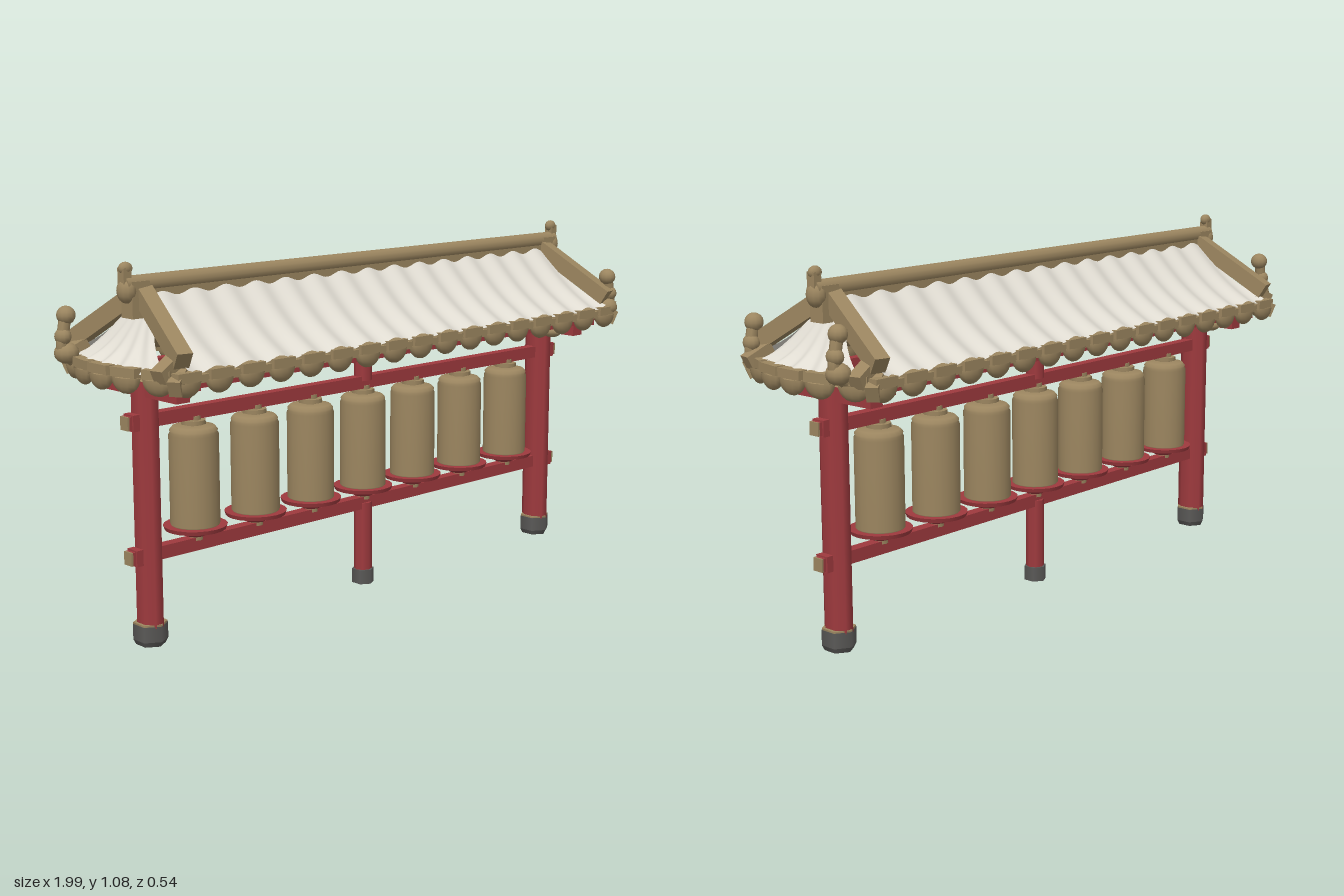
import * as THREE from 'three';

const mat = (name, color, side = THREE.FrontSide) => {
  const m = new THREE.MeshStandardMaterial({ color, side });
  m.name = name;
  return m;
};

export function createModel() {
  const root = new THREE.Group();
  root.name = 'prayerWheelPavilion';
  const red = mat('red paint', 0x9e3a3e);
  const gold = mat('antique gold', 0x9c8660, THREE.DoubleSide);
  const white = mat('pale tile', 0xe0dcd2, THREE.DoubleSide);
  const stone = mat('grey stone', 0x5a5957);

  const add = (name, geo, m, x = 0, y = 0, z = 0, parent = root) => {
    const mesh = new THREE.Mesh(geo, m);
    mesh.name = name;
    mesh.position.set(x, y, z);
    parent.add(mesh);
    return mesh;
  };
  const box = (name, m, w, h, d, x, y, z, parent) =>
    add(name, new THREE.BoxGeometry(w, h, d), m, x, y, z, parent);
  const ball = (name, rx, ry, rz, x, y, z, parent) =>
    add(name, new THREE.SphereGeometry(1, 12, 8).scale(rx, ry, rz), gold, x, y, z, parent);
  // Square bar running between two points
  const bar = (name, m, a, b, w, h) => {
    const from = new THREE.Vector3(...a), to = new THREE.Vector3(...b);
    const mid = from.clone().add(to).multiplyScalar(0.5);
    const mesh = box(name, m, w, h, from.distanceTo(to), mid.x, mid.y, mid.z);
    mesh.lookAt(to);
    return mesh;
  };
  // Curved sheet from a rule fn(u, v) -> [x, y, z]
  const sheet = (fn, nu, nv) => {
    const pos = [], idx = [];
    for (let j = 0; j <= nv; j++) for (let i = 0; i <= nu; i++) pos.push(...fn(i / nu, j / nv));
    for (let j = 0; j < nv; j++) for (let i = 0; i < nu; i++) {
      const a = j * (nu + 1) + i, b = a + nu + 1;
      idx.push(a, b, a + 1, a + 1, b, b + 1);
    }
    const g = new THREE.BufferGeometry();
    g.setAttribute('position', new THREE.Float32BufferAttribute(pos, 3));
    g.setIndex(idx);
    g.computeVertexNormals();
    return g;
  };

  // Posts on stone feet
  const hex = (r, h, sx) => new THREE.CylinderGeometry(r, r, h, 6).scale(sx, 1, 1);
  for (const s of [-1, 1]) {
    add('cornerPost', new THREE.CylinderGeometry(0.044, 0.044, 0.71, 8, 1).rotateY(Math.PI / 8).scale(0.8, 1, 1.08), red, s * 0.83, 0.41, 0);
    add('postFoot', hex(0.051, 0.045, 0.95), stone, s * 0.83, 0.0375, 0);
    add('footBase', new THREE.CylinderGeometry(0.051, 0.043, 0.015, 6).scale(0.95, 1, 1), stone, s * 0.83, 0.0075, 0);
    add('footRim', hex(0.05, 0.006, 0.95), gold, s * 0.83, 0.062, 0);
  }
  add('centrePost', new THREE.CylinderGeometry(0.028, 0.028, 0.22, 8), red, 0, 0.15, 0);
  add('centreFoot', hex(0.036, 0.045, 0.95), stone, 0, 0.0225, 0);
  add('upperCentrePost', new THREE.CylinderGeometry(0.028, 0.028, 0.09, 8), red, 0, 0.69, 0);

  // Long rails with gold end caps
  for (const y of [0.26, 0.64]) {
    box('rail', red, 1.79, 0.038, 0.034, 0, y, 0);
    for (const s of [-1, 1]) {
      box('railEnd', gold, 0.006, 0.038, 0.034, s * 0.898, y, 0);
      box('railPeg', red, 0.022, 0.046, 0.044, s * 0.875, y, 0);
    }
  }
  box('topBeam', red, 1.66, 0.045, 0.06, 0, 0.735, 0);
  for (const s of [-1, 1]) box('eavePurlin', red, 1.7, 0.03, 0.03, 0, 0.76, s * 0.16);

  // Cross brackets under the roof ends
  for (const s of [-1, 1]) {
    box('crossBeam', red, 0.045, 0.055, 0.34, s * 0.83, 0.738, 0);
    for (const t of [-1, 1]) {
      box('bracketTip', red, 0.035, 0.03, 0.09, s * 0.83, 0.765, t * 0.18);
      ball('bracketScroll', 0.03, 0.02, 0.035, s * 0.78, 0.722, t * 0.1);
    }
  }

  // Wheels on red plates
  const drum = [[0, 0], [0.066, 0], [0.071, 0.006], [0.071, 0.265], [0.067, 0.272],
    [0.069, 0.278], [0.06, 0.288], [0.03, 0.29], [0, 0.29]].map(p => new THREE.Vector2(...p));
  for (const x of [-0.663, -0.438, -0.219, 0, 0.219, 0.438, 0.663]) {
    const g = new THREE.Group();
    g.name = 'prayerWheel';
    g.position.x = x;
    root.add(g);
    add('drum', new THREE.LatheGeometry(drum, 20), gold, 0, 0.312, 0, g);
    add('plate', new THREE.CylinderGeometry(0.092, 0.088, 0.012, 20), red, 0, 0.309, 0, g);
    add('plateHub', new THREE.CylinderGeometry(0.055, 0.03, 0.02, 12), red, 0, 0.293, 0, g);
    add('spindle', new THREE.CylinderGeometry(0.022, 0.022, 0.36, 8), gold, 0, 0.45, 0, g);
    add('spindleCollar', new THREE.CylinderGeometry(0.036, 0.036, 0.012, 10), gold, 0, 0.612, 0, g);
  }

  // Main roof slopes: rippled tiles over a gold soffit
  const pitch = 0.111;
  const slope = (side, lift, ripple) => (u, v) => {
    const x = (u * 2 - 1) * (0.82 + 0.055 * v);
    const y = 0.99 - 0.18 * v - 0.018 * Math.sin(Math.PI * v) + lift
      + ripple * Math.cos(2 * Math.PI * x / pitch);
    return [x, y, side * (0.015 + 0.235 * v)];
  };
  for (const s of [-1, 1]) {
    add('roofTiles', sheet(slope(s, 0, 0.007), 160, 10), white);
    add('roofSoffit', sheet(slope(s, -0.03, 0), 2, 10), gold);
    box('eaveBoard', gold, 1.76, 0.022, 0.014, 0, 0.787, s * 0.243);
  }

  // Rounded drop tile facing outward along local z
  const dropTile = (x, y, z, turn, size) => {
    const g = new THREE.Group();
    g.name = 'dropTile';
    g.position.set(x, y, z);
    g.rotation.y = turn;
    root.add(g);
    const cup = new THREE.SphereGeometry(1, 12, 6, 0, Math.PI * 2, Math.PI / 2, Math.PI / 2)
      .scale(0.044 * size, 0.042 * size, 0.024);
    add('dropCup', cup, gold, 0, -0.006, 0, g);
    box('dropCap', gold, 0.078 * size, 0.026, 0.03, 0, 0.007, 0, g);
  };
  for (let i = -8; i <= 8; i++) for (const s of [-1, 1])
    dropTile(i * pitch * 0.985, 0.79, s * 0.245, s > 0 ? 0 : Math.PI, 1);

  // Hipped end aprons with curved lower edge
  const apronEdge = z => 0.97 - 1.3 * z * z;
  for (const s of [-1, 1]) {
    const apron = (lift, ripple) => (u, v) => {
      const z = (u * 2 - 1) * (0.05 + 0.17 * v);
      const x = 0.83 + (apronEdge(z) - 0.83) * v;
      const y = 0.95 - 0.145 * v - 0.025 * Math.sin(Math.PI * v) + lift
        + ripple * v * Math.cos(2 * Math.PI * (u - 0.5) * 5);
      return [s * x, y, z];
    };
    add('endApronTiles', sheet(apron(0, 0.008), 50, 8), white);
    add('endApronSoffit', sheet(apron(-0.025, 0), 12, 8), gold);
    for (let i = -2; i <= 2; i++) {
      const z = i * 0.094;
      dropTile(s * apronEdge(z), 0.795, z, s * (Math.PI / 2 - i * 0.2), 1.08);
    }
    // Gable ribs and corner hips
    for (const t of [-1, 1]) {
      bar('gableRib', gold, [s * 0.83, 0.995, 0], [s * 0.885, 0.84, t * 0.245], 0.045, 0.05);
      bar('cornerHip', gold, [s * 0.875, 0.835, t * 0.2], [s * 0.945, 0.8, t * 0.215], 0.04, 0.04);
      bar('cornerTail', gold, [s * 0.86, 0.8, t * 0.21], [s * 0.92, 0.77, t * 0.25], 0.035, 0.045);
    }
    box('gableBlock', gold, 0.06, 0.1, 0.05, s * 0.85, 0.975, 0);
    // Ridge end finial
    ball('ridgeKnob', 0.026, 0.035, 0.03, s * 0.88, 1.0, 0);
    box('ridgeFinial', gold, 0.026, 0.055, 0.028, s * 0.885, 1.035, 0);
    ball('ridgeFinialTip', 0.021, 0.018, 0.016, s * 0.882, 1.06, 0);
  }

  // Ridge cap
  box('ridge', gold, 1.74, 0.075, 0.04, 0, 0.985, 0);
  add('ridgeRoll', new THREE.CylinderGeometry(0.025, 0.025, 1.78, 12).rotateZ(Math.PI / 2), gold, 0, 1.015, 0);

  // Upright corner ornaments
  const ornament = (x, y, z, out, h) => {
    const g = new THREE.Group();
    g.name = 'cornerOrnament';
    g.position.set(x, y, z);
    root.add(g);
    const path = new THREE.CatmullRomCurve3([[-0.03, 0, 0], [0.012, 0.25, 0], [0.008, 0.6, 0], [-0.004, 0.95, 0]]
      .map(p => new THREE.Vector3(p[0] * out, p[1] * h, p[2])));
    add('ornamentStem', new THREE.TubeGeometry(path, 10, 0.017, 8), gold, 0, 0, 0, g);
    ball('ornamentFoot', 0.034, 0.03, 0.036, 0, 0.2 * h, 0, g);
    ball('ornamentBelly', 0.022, 0.024, 0.027, out * 0.01, 0.5 * h, 0, g);
    ball('ornamentHead', 0.026, 0.026, 0.028, -out * 0.002, h * 0.87, 0, g);
  };
  for (const s of [-1, 1]) ornament(s * 0.962, 0.79, -0.17, s, 0.155);
  ornament(0.905, 0.775, 0.23, 1, 0.15);

  return root;
}
